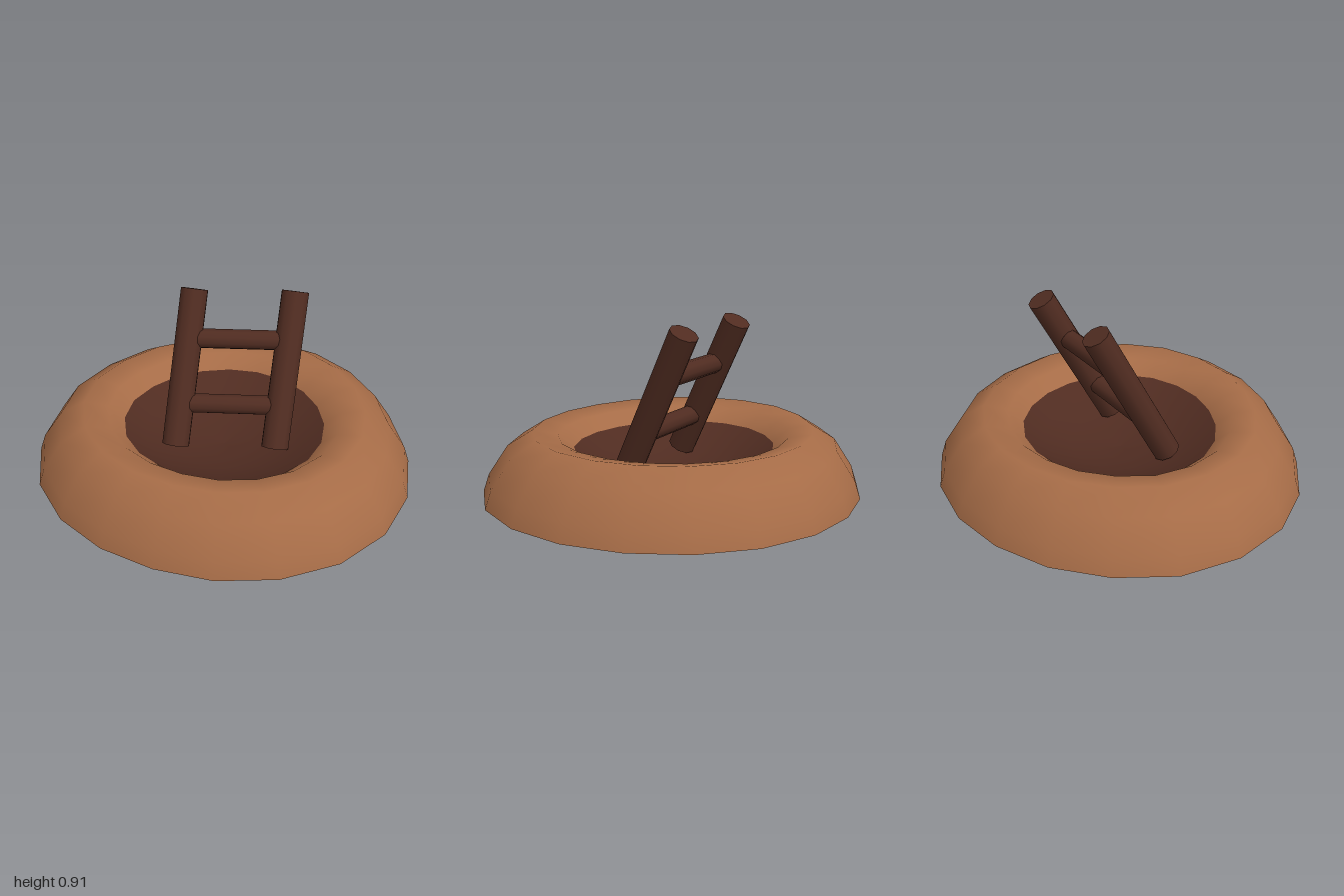
import * as THREE from 'three';

const clay = new THREE.MeshStandardMaterial({ color: 0xa66c47, side: THREE.DoubleSide });
clay.name = 'clay';
const darkWood = new THREE.MeshStandardMaterial({ color: 0x502c21, side: THREE.DoubleSide });
darkWood.name = 'darkWood';

// Hand-shaped outline: radius factor every 18 degrees, from +x towards +z
const OUTLINE = [0.99, 1.002, 1.01, 1.002, 0.978, 0.955, 0.94, 0.95, 0.975, 1,
  1.01, 1.007, 0.98, 0.966, 0.956, 0.96, 0.969, 0.975, 0.975, 0.979];
const CENTER_X = 0.01;

// Sweeps a [radius, height] profile around the wobbly outline
function wobblyLathe(profile) {
  const n = OUTLINE.length, pos = [], index = [];
  profile.forEach(([r, y], i) => {
    OUTLINE.forEach((k, j) => {
      const a = (j / n) * Math.PI * 2;
      pos.push(CENTER_X + r * k * Math.cos(a), y, r * k * Math.sin(a));
      if (i === profile.length - 1) return;
      const p = i * n + j, q = i * n + (j + 1) % n;
      index.push(p, p + n, q, q, p + n, q + n);
    });
  });
  const geo = new THREE.BufferGeometry();
  geo.setAttribute('position', new THREE.Float32BufferAttribute(pos, 3));
  geo.setIndex(index);
  geo.computeVertexNormals();
  return geo;
}

function add(group, name, geo, mat) {
  const mesh = new THREE.Mesh(geo, mat);
  mesh.name = name;
  group.add(mesh);
  return mesh;
}

// Cylinder running between two points
function pole(group, name, from, to, radius) {
  const dir = to.clone().sub(from);
  const mesh = add(group, name, new THREE.CylinderGeometry(radius, radius, dir.length(), 10), darkWood);
  mesh.position.copy(from).add(to).multiplyScalar(0.5);
  mesh.quaternion.setFromUnitVectors(new THREE.Vector3(0, 1, 0), dir.normalize());
}

export function createModel() {
  const model = new THREE.Group();
  model.name = 'pitWithLadder';

  // Rounded earthen rim, open underneath
  add(model, 'rim', wobblyLathe([
    [1, 0], [0.97, 0.09], [0.87, 0.24], [0.74, 0.32], [0.61, 0.295], [0.53, 0.225],
  ]), clay);

  // Dark, shallow bowl closing the opening
  add(model, 'pitFloor', wobblyLathe([
    [0.53, 0.225], [0.42, 0.165], [0.28, 0.115], [0.14, 0.09], [0.001, 0.08],
  ]), darkWood);

  // Leaning ladder
  const ladder = new THREE.Group();
  ladder.name = 'ladder';
  model.add(ladder);
  const railPoint = (side, y) => new THREE.Vector3(
    0.073 + side * 0.26 + 0.112 * (y - 0.65), y, -0.14 - 0.515 * (y - 0.65));
  for (const side of [-1, 1]) {
    pole(ladder, side < 0 ? 'rightRail' : 'leftRail', railPoint(side, 0.15), railPoint(side, 0.875), 0.073);
  }
  for (const y of [0.346, 0.648]) {
    pole(ladder, 'rung', railPoint(-1, y), railPoint(1, y), 0.052);
  }
  return model;
}
